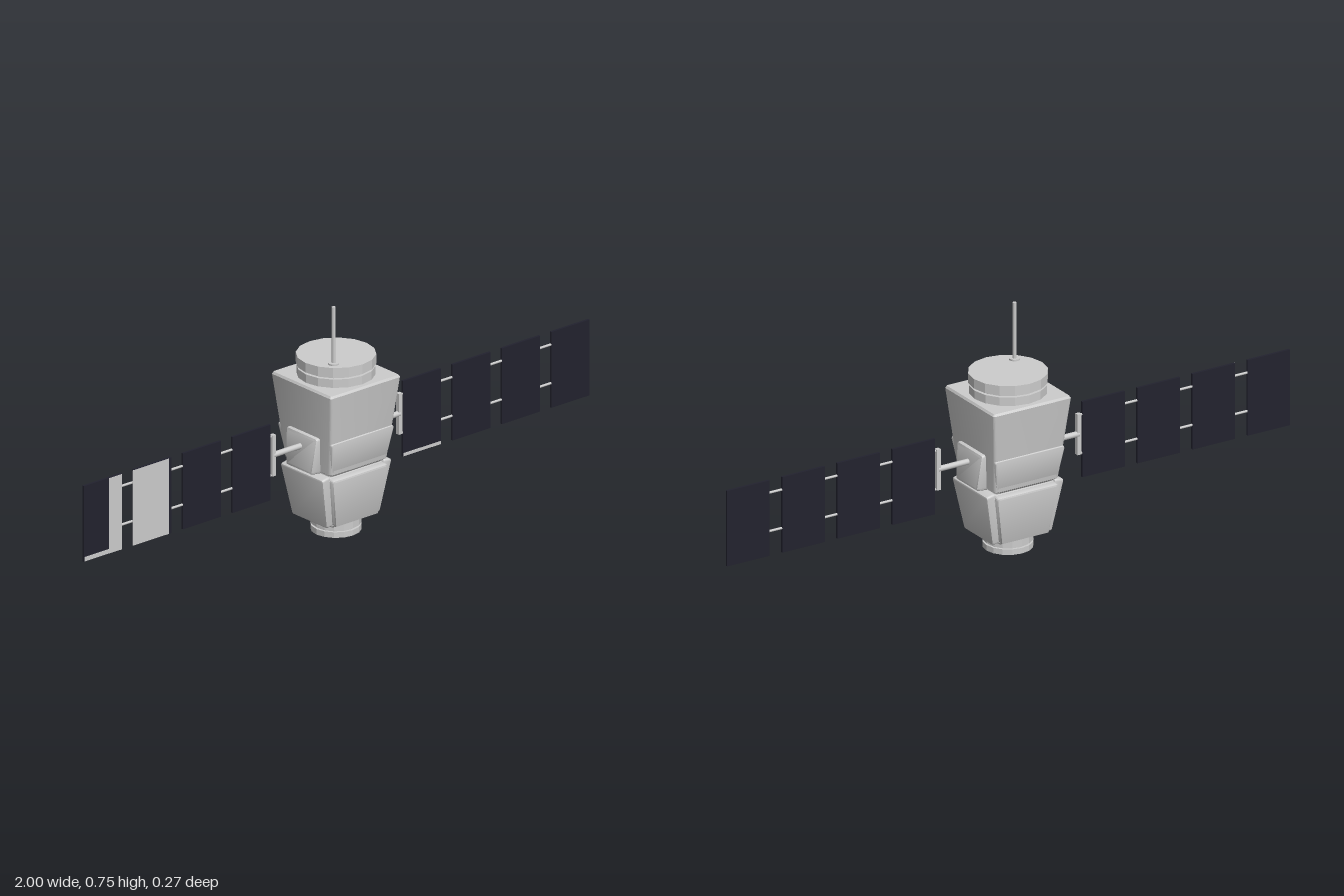
import * as THREE from 'three';
import { toCreasedNormals } from 'three/addons/utils/BufferGeometryUtils.js';

const hull = new THREE.MeshStandardMaterial({ color: 0xcccccc });
hull.name = 'hull grey';
const solar = new THREE.MeshStandardMaterial({ color: 0x22222e });
solar.name = 'solar dark blue';

// Rounded-rectangle loft; each row is [y, halfX, halfZ, cornerRadius]
function loft(rows) {
  const pos = [], idx = [], seg = 3, n = 4 * (seg + 1);
  const ring = [0, 1, 2, 3].flatMap(c => Array.from({ length: seg + 1 }, (_, s) => [c, s]));
  for (const [y, hx, hz, r] of rows) {
    for (const [c, s] of ring) {
      const a = (c + s / seg) * Math.PI / 2;
      const sx = c === 0 || c === 3 ? 1 : -1, sz = c < 2 ? 1 : -1;
      pos.push(sx * (hx - r) + r * Math.cos(a), y, sz * (hz - r) + r * Math.sin(a));
    }
  }
  for (let i = 0; i < rows.length - 1; i++) {
    for (let j = 0; j < n; j++) {
      const a = i * n + j, b = i * n + (j + 1) % n;
      idx.push(a, a + n, b, b, a + n, b + n);
    }
  }
  // End caps
  const last = (rows.length - 1) * n;
  for (let j = 1; j < n - 1; j++) {
    idx.push(0, j, j + 1, last, last + j + 1, last + j);
  }
  const g = new THREE.BufferGeometry();
  g.setAttribute('position', new THREE.Float32BufferAttribute(pos, 3));
  g.setIndex(idx);
  return toCreasedNormals(g, 0.6);
}

// Bevelled trapezoid with its outer face at z = 0
function plate(top, bottom, h, depth, bevel) {
  const c = 0.008, y = h / 2;
  const s = new THREE.Shape();
  s.moveTo(-bottom + c, -y);
  s.lineTo(bottom - c, -y);
  s.quadraticCurveTo(bottom, -y, bottom, -y + c);
  s.lineTo(top, y - c);
  s.quadraticCurveTo(top, y, top - c, y);
  s.lineTo(-top + c, y);
  s.quadraticCurveTo(-top, y, -top, y - c);
  s.lineTo(-bottom, -y + c);
  s.quadraticCurveTo(-bottom, -y, -bottom + c, -y);
  const g = new THREE.ExtrudeGeometry(s, {
    depth, bevelSize: bevel, bevelOffset: -bevel, bevelThickness: bevel, bevelSegments: 2, curveSegments: 3,
  });
  g.translate(0, 0, -depth - bevel);
  return toCreasedNormals(g, 0.6);
}

export function createModel() {
  const model = new THREE.Group();
  model.name = 'satellite';

  const add = (name, geometry, material = hull, x = 0, y = 0, z = 0, parent = model) => {
    const m = new THREE.Mesh(geometry, material);
    m.name = name;
    m.position.set(x, y, z);
    parent.add(m);
    return m;
  };
  const disc = (name, r, y0, y1, x = 0, z = 0, sides = 16) => {
    const g = toCreasedNormals(new THREE.CylinderGeometry(r, r, y1 - y0, sides), sides === 16 ? 0.1 : 0.9);
    return add(name, g, hull, x, (y0 + y1) / 2, z);
  };

  // Tapered body blocks
  add('upperBody', loft([
    [0.222, 0.1, 0.095, 0.01], [0.232, 0.114, 0.107, 0.012],
    [0.495, 0.138, 0.137, 0.006], [0.502, 0.134, 0.133, 0.005],
  ]));
  add('waist', loft([[0.2, 0.098, 0.088, 0.01], [0.23, 0.098, 0.088, 0.01]]));
  add('lowerBody', loft([
    [0.045, 0.078, 0.074, 0.01], [0.053, 0.09, 0.08, 0.01],
    [0.208, 0.116, 0.098, 0.012], [0.217, 0.108, 0.09, 0.01],
  ]));

  // Round collars at both ends
  disc('baseRing', 0.077, 0, 0.018);
  disc('baseGroove', 0.069, 0.018, 0.024);
  disc('baseCollar', 0.077, 0.024, 0.05);
  disc('topCollar', 0.119, 0.5, 0.529);
  disc('topGroove', 0.108, 0.529, 0.536);
  disc('topCap', 0.121, 0.536, 0.567);

  // Antenna
  disc('antennaFoot', 0.017, 0.566, 0.572, -0.063, 0.062, 12);
  disc('antennaMast', 0.006, 0.57, 0.752, -0.063, 0.062, 10);

  // Front and back cover panels
  for (const turn of [0, Math.PI]) {
    const side = new THREE.Group();
    side.name = turn ? 'backPanels' : 'frontPanels';
    side.rotation.y = turn;
    model.add(side);
    add('upperPanel', plate(0.123, 0.108, 0.112, 0.02, 0.004), hull, 0, 0.283, 0.115, side).rotation.x = 0.17;
    add('lowerPanel', plate(0.108, 0.085, 0.16, 0.02, 0.006), hull, 0, 0.134, 0.106, side).rotation.x = 0.1;
  }

  // Side panels, arms and solar wings, mirrored
  for (const s of [1, -1]) {
    const side = new THREE.Group();
    side.name = s > 0 ? 'leftSidePanels' : 'rightSidePanels';
    side.rotation.y = s * Math.PI / 2;
    model.add(side);
    add('armHousing', plate(0.07, 0.06, 0.118, 0.03, 0.009), hull, 0, 0.287, 0.144, side).rotation.x = -0.1;
    add('lowerSidePanel', plate(0.097, 0.081, 0.172, 0.02, 0.007), hull, 0, 0.134, 0.122, side).rotation.x = 0.19;

    const wing = new THREE.Group();
    wing.name = s > 0 ? 'leftWing' : 'rightWing';
    model.add(wing);
    const arm = new THREE.CylinderGeometry(0.009, 0.009, 0.12, 12);
    add('arm', arm, hull, s * 0.19, 0.304, 0, wing).rotation.z = Math.PI / 2;
    add('bracket', new THREE.BoxGeometry(0.014, 0.132, 0.014), hull, s * 0.25, 0.304, 0, wing);
    for (const y of [0.24, 0.365]) {
      const rod = new THREE.CylinderGeometry(0.004, 0.004, 0.62, 8);
      add('rod', rod, hull, s * 0.56, y, 0, wing).rotation.z = Math.PI / 2;
    }
    for (let i = 0; i < 4; i++) {
      add('solarPanel', new THREE.BoxGeometry(0.151, 0.245, 0.008), solar, s * (0.337 + i * 0.1958), 0.284, 0, wing);
    }
  }

  // Bare grey areas on the front of some solar panels: [x, y, width, height]
  for (const [x, y, w, h] of [
    [-0.736, 0.284, 0.142, 0.243], [-0.876, 0.284, 0.052, 0.243],
    [-0.95, 0.17, 0.096, 0.014], [0.337, 0.168, 0.149, 0.01],
  ]) add('barePanelFace', new THREE.BoxGeometry(w, h, 0.002), hull, x, y, 0.0042);

  return model;
}
